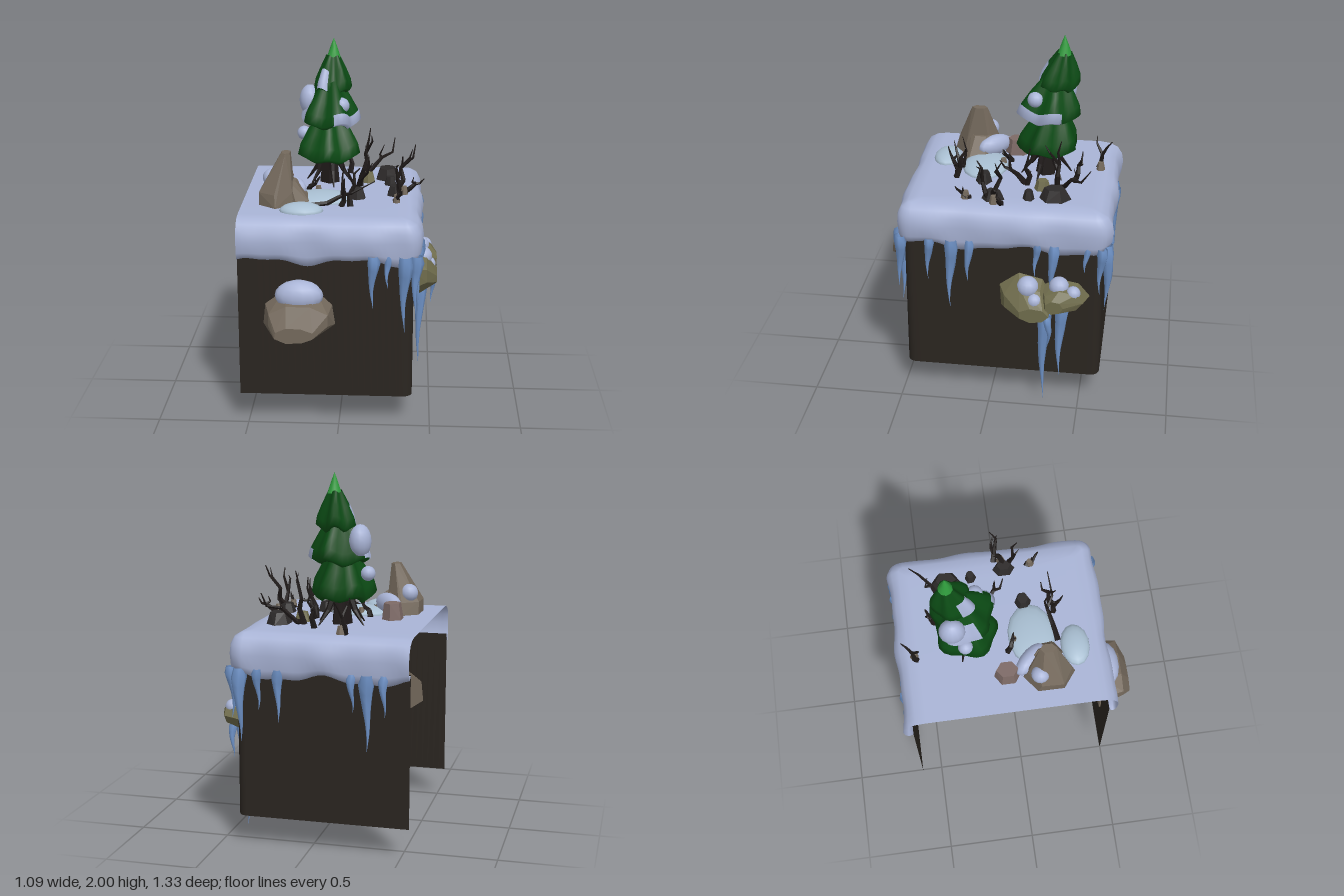
import * as THREE from 'three';
import { ConvexGeometry } from 'three/addons/geometries/ConvexGeometry.js';

const V = (x, y, z) => new THREE.Vector3(x, y, z);
const mat = (color, flatShading = false) =>
  new THREE.MeshStandardMaterial({ color, flatShading, side: THREE.DoubleSide });
const SNOW = mat(0xa9b4d6), ICE = mat(0x6f93c8), SOIL = mat(0x2a2520), DRIFT = mat(0xa9bfd2);
const STONE = mat(0x74695c, true), MOSSY = mat(0x6f6c4c, true), DARK = mat(0x2d2a2a, true);
const PINK = mat(0x7d6a66, true), WOOD = mat(0x1f1a19, true), GREEN = mat(0x0b4a14), TIP = mat(0x2f9a3c);
const TOP = 1.18, BACK_X = -0.545, TAU = Math.PI * 2;

// Seeded random numbers
let seed = 7;
const rnd = () => (seed = (seed * 16807) % 2147483647) / 2147483647;
const jitter = a => V(rnd() - 0.5, rnd() - 0.5, rnd() - 0.5).multiplyScalar(2 * a);

// Surface through rows of points; closed rows wrap round
function loft(rows, closed) {
  const n = rows[0].length, index = [];
  for (let i = 0; i < rows.length - 1; i++)
    for (let j = 0; j < (closed ? n : n - 1); j++) {
      const a = i * n + j, b = i * n + (j + 1) % n;
      index.push(a, b, a + n, b, b + n, a + n);
    }
  const geo = new THREE.BufferGeometry().setFromPoints(rows.flat());
  geo.setIndex(index);
  geo.computeVertexNormals();
  return geo;
}

// Three-sided outline with two rounded corners, pushed out by d
function outline(d, y, wob = 0, hem = 0) {
  const x1 = 0.4 + d, zf = 0.48 + d, zb = -0.61 - d, r = Math.max(0.02, 0.05 + d), pts = [];
  const line = (ax, az, bx, bz) => {
    for (let i = 0; i < 26; i++) pts.push(V(ax + (bx - ax) * i / 26, y, az + (bz - az) * i / 26));
  };
  const arc = (cx, cz, a0) => {
    for (let i = 0; i < 6; i++) {
      const a = a0 - i / 6 * Math.PI / 2;
      pts.push(V(cx + r * Math.cos(a), y, cz + r * Math.sin(a)));
    }
  };
  line(BACK_X, zf, x1 - r, zf);
  arc(x1 - r, zf - r, Math.PI / 2);
  line(x1, zf - r, x1, zb + r);
  arc(x1 - r, zb + r, 0);
  line(x1 - r, zb, BACK_X, zb);
  pts.push(V(BACK_X, y, zb));
  pts.forEach((p, i) => {
    const w = Math.sin(i * 0.43) + 0.5 * Math.sin(i * 0.91 + 1);
    p.y += hem * w;
    if (p.x > 0.38) p.x += wob * w;
    else p.z += Math.sign(p.z + 0.065) * wob * w;
  });
  return pts;
}

// Wavy ring for tree tiers and icicles, whole or part of a turn
const ring = (c, r, n, wave, phase, droop = 0, a0 = 0, span = TAU) =>
  Array.from({ length: n }, (_, i) => {
    const a = a0 + span * i / (span < TAU ? n - 1 : n);
    const w = Math.sin(a * 5 + phase) + 0.5 * Math.sin(a * 3 + phase * 2);
    return V(c.x + r * (1 + wave * w) * Math.cos(a), c.y + droop * w, c.z + r * (1 + wave * w) * Math.sin(a));
  });

// Where a rock's (across, out, other) coordinates go for each growing direction
const GROW = { up: (u, h, v) => V(u, h, v), front: (u, h, v) => V(u, v, h), side: (u, h, v) => V(h, v, u) };

export function createModel() {
  const root = new THREE.Group();
  const add = (name, geo, material) => {
    const m = new THREE.Mesh(geo, material);
    m.name = name;
    root.add(m);
    return m;
  };
  const lump = (name, x, y, z, rx, ry = rx, rz = rx, material = SNOW) => {
    const m = add(name, new THREE.SphereGeometry(1, 14, 10), material);
    m.position.set(x, y, z);
    m.scale.set(rx, ry, rz);
    return m;
  };
  // Faceted rock: hull of stacked rough polygons [out, centre, centre, radius, radius]
  const rock = (name, sides, dir, material, ...layers) => {
    const pts = layers.flatMap(([h, u, v, ru, rv]) => Array.from({ length: sides }, (_, i) => {
      const a = (i + 0.5) / sides * TAU, s = 0.95 + 0.12 * rnd();
      return GROW[dir](u + ru * s * Math.cos(a), h, v + rv * s * Math.sin(a));
    }));
    add(name, new ConvexGeometry(pts), material);
  };

  // Open-backed soil walls and the snow blanket over them
  add('soilWalls', loft([outline(0, 0.165), outline(0, 1)], false), SOIL);
  const inner = outline(-0.08, TOP);
  add('snowBlanket', loft([
    outline(0, 0.975, 0, 0.015), outline(0.022, 0.95, 0.004, 0.018), outline(0.036, 0.99, 0.007, 0.01),
    outline(0.042, 1.06, 0.008), outline(0.036, 1.11, 0.006), outline(0.014, 1.15, 0.003),
    outline(-0.025, 1.172), inner, inner.map(p => V(Math.min(p.x, 0.25), TOP, -0.065)),
  ], false), SNOW);

  // Icicles hang under the snow hem and the ledge; longer ones are thicker
  const icicle = (x, z, tip, top = 0.99) => {
    const len = top - tip, r = Math.min(0.042, 0.008 + 0.085 * len), rows = [];
    for (let i = 0; i <= 8; i++) {
      const t = i / 8, s = Math.min(0.8 + 2 * t, (1 - t) ** 1.2 * 1.15);
      rows.push(ring(V(x + 0.006 * Math.sin(t * 6 + z * 40), top - len * t, z + 0.008 * Math.sin(t * 5 + x * 40)), r * s, 7, 0.08, i));
    }
    add('icicle', loft(rows, true), ICE);
  };
  [[0.18, 0.68], [0.26, 0.8], [0.35, 0.55], [0.41, 0.66]].forEach(([x, tip]) => icicle(x, 0.5, tip));
  [[0.34, 0.73], [0.22, 0.56], [0.12, 0.72], [-0.25, 0.78], [-0.34, 0.66], [-0.52, 0.82], [-0.6, 0.7]]
    .forEach(([z, tip]) => icicle(0.42, z, tip));
  [[0.37, 0.58], [0.27, 0.76], [0.16, 0.7], [-0.24, 0.78], [-0.32, 0.58], [-0.41, 0.76]]
    .forEach(([x, tip]) => icicle(x, -0.63, tip));
  icicle(0.44, -0.3, 0, 0.62);
  icicle(0.43, -0.39, 0.16, 0.64);
  icicle(0.515, -0.33, 0.4, 0.6);

  // Front wall boulder with its snow cap
  rock('frontBoulder', 8, 'front', STONE, [0.47, -0.215, 0.645, 0.205, 0.15], [0.615, -0.21, 0.66, 0.165, 0.08], [0.665, -0.23, 0.59, 0.105, 0.045]);
  lump('boulderSnow', -0.21, 0.77, 0.53, 0.13, 0.085, 0.075);

  // Ledge rocks on the side wall
  rock('sideLedge', 7, 'side', MOSSY, [0.39, -0.19, 0.65, 0.15, 0.15], [0.48, -0.2, 0.66, 0.13, 0.09], [0.54, -0.25, 0.61, 0.08, 0.045]);
  rock('sideLedge', 7, 'side', MOSSY, [0.39, -0.4, 0.68, 0.14, 0.1], [0.5, -0.41, 0.69, 0.11, 0.06], [0.54, -0.36, 0.67, 0.05, 0.04]);
  lump('ledgeSnow', 0.45, 0.74, -0.21, 0.06);
  lump('ledgeSnow', 0.44, 0.75, -0.38, 0.055);
  lump('ledgeSnow', 0.49, 0.68, -0.25, 0.042);
  lump('ledgeSnow', 0.47, 0.73, -0.46, 0.04);

  // Leaning standing stone, its side block, and snow drifts
  rock('standingStone', 6, 'up', STONE, [TOP, -0.355, 0.165, 0.105, 0.14], [1.25, -0.36, 0.17, 0.1, 0.12], [1.46, -0.305, 0.16, 0.026, 0.045]);
  rock('stoneFoot', 6, 'up', STONE, [TOP, -0.24, 0.16, 0.09, 0.1], [1.3, -0.28, 0.15, 0.03, 0.06]);
  rock('sideBlock', 6, 'up', PINK, [TOP, -0.33, -0.06, 0.06, 0.07], [1.27, -0.33, -0.06, 0.05, 0.06]);
  lump('stoneSnow', -0.28, 1.24, 0.07, 0.11, 0.06, 0.05).rotation.y = -0.8;
  lump('stoneSnow', -0.39, 1.3, 0.11, 0.05);
  lump('snowDrift', -0.12, TOP, 0.1, 0.18, 0.04, 0.13, DRIFT);
  lump('snowDrift', -0.21, TOP, 0.33, 0.12, 0.045, 0.08, DRIFT);

  // Loose stones on the snow: place, half width, half depth
  const loose = (material, ...spots) => spots.forEach(([x, z, a, b]) =>
    rock('looseStone', 6, 'up', material, [TOP, x, z, a, b], [TOP + 0.035 + a * 0.4, x, z, a * 0.65, b * 0.65]));
  loose(DARK, [0.24, -0.33, 0.07, 0.085], [0.26, -0.19, 0.036, 0.032], [0.08, 0.08, 0.055, 0.045], [0.29, 0, 0.045, 0.06]);
  loose(MOSSY, [0.13, -0.25, 0.045, 0.045]);
  loose(STONE, [0.34, -0.01, 0.025, 0.025], [-0.14, 0, 0.022, 0.022], [0.3, 0.15, 0.022, 0.025], [-0.16, -0.55, 0.025, 0.025]);

  // Tapered limbs along a bent path
  const limbs = (name, r, pts) => pts.slice(1).forEach((b, i) => {
    const a = pts[i], taper = t => r * (1 - 0.85 * t / (pts.length - 1));
    const limb = add(name, new THREE.CylinderGeometry(taper(i + 1), taper(i), a.distanceTo(b) * 1.05, 5), WOOD);
    limb.position.copy(a).lerp(b, 0.5);
    limb.quaternion.setFromUnitVectors(V(0, 1, 0), b.clone().sub(a).normalize());
  });
  // Bare twigs: foot x, z and tip x, y, z; each bends at random and bears a side shoot
  [
    [-0.18, -0.54, -0.14, 1.36, -0.61], [0.11, -0.3, 0.28, 1.37, -0.52], [0.1, -0.33, 0.14, 1.47, -0.35],
    [0.08, -0.15, 0.16, 1.35, -0.02], [0.09, -0.16, 0.12, 1.41, -0.18], [0.28, 0.02, 0.4, 1.45, -0.06],
    [0.3, 0.02, 0.33, 1.42, 0.08], [0.34, -0.05, 0.45, 1.26, -0.04], [-0.17, 0.24, 0.18, 1.32, 0.23],
    [0, 0.24, 0.02, 1.35, 0.29], [0.05, 0.24, 0.1, 1.38, 0.18], [-0.2, -0.04, -0.13, 1.28, 0],
    [0.29, 0.13, 0.33, 1.26, 0.2], [0.02, -0.42, 0.03, 1.37, -0.46],
  ].forEach(([x, z, tx, ty, tz]) => {
    const foot = V(x, TOP, z), tip = V(tx, ty, tz), bend = foot.distanceTo(tip) * 0.09;
    const path = [0, 0.25, 0.5, 0.75, 1].map(t => foot.clone().lerp(tip, t).add(jitter(t % 1 ? bend : 0)));
    limbs('twig', 0.018, path);
    const shoot = path[2].clone().add(jitter(bend * 2)).add(V(0, bend * 2, 0));
    limbs('twigShoot', 0.01, [path[2], shoot, shoot.clone().add(V(0, bend * 1.5, 0)).add(jitter(bend))]);
  });

  // Tree trunk with splayed roots
  limbs('treeTrunk', 0.06, [V(-0.09, TOP, -0.25), V(-0.09, 1.4, -0.26), V(-0.08, 1.7, -0.3)]);
  for (let i = 0; i < 6; i++) {
    const at = (r, y) => V(-0.09 + r * Math.cos(i * 1.05 + 0.3), y, -0.25 + r * Math.sin(i * 1.05 + 0.3));
    limbs('treeRoot', 0.024, [at(0.04, 1.36), at(0.08, 1.26), at(0.14, TOP)]);
  }

  // Drooping tree tiers share one profile: height, radius, waviness
  const PROFILE = [[0.15, 0.4, 0], [0, 0.8, 1], [0.08, 1, 1], [0.3, 0.92, 1], [0.6, 0.68, 1], [1, 0.36, 0.4]];
  const tier = (name, [y, h, r, z, phase], material, from = 0, to = 6, grow = 0, a0 = 0, span = TAU) =>
    add(name, loft(PROFILE.slice(from, to).map(([t, s, w]) =>
      ring(V(-0.1 + 0.06 * (y - 1.32), y + h * t, z - 0.03 * t), r * s + grow, span < TAU ? 16 : 30, 0.1 * w, phase, 0.014 * w, a0, span)),
    span === TAU), material);
  const low = [1.32, 0.26, 0.165, -0.25, 0.4], mid = [1.52, 0.24, 0.16, -0.26, 2.1], high = [1.7, 0.2, 0.105, -0.305, 3.6];
  tier('lowerTier', low, GREEN);
  tier('middleTier', mid, GREEN);
  tier('upperTier', high, GREEN);
  add('treeTip', loft([[1.89, 0.039], [1.95, 0.019], [2, 0]].map(([y, r]) => ring(V(-0.072, y, -0.337), r, 10, 0.04, 3.6)), true), TIP);

  // Snow caught on the branches
  tier('branchSnow', mid, SNOW, 1, 4, 0.005, -0.5, 1.9);
  tier('branchSnow', mid, SNOW, 2, 5, 0.005, 2.6, 1.1);
  tier('branchSnow', high, SNOW, 2, 5, 0.004, 1.8, 0.9);
  lump('branchSnow', -0.21, 1.64, -0.33, 0.06, 0.09, 0.07);
  lump('branchSnow', -0.02, 1.64, -0.19, 0.045);
  lump('branchSnow', -0.24, 1.46, -0.27, 0.04);
  return root;
}
